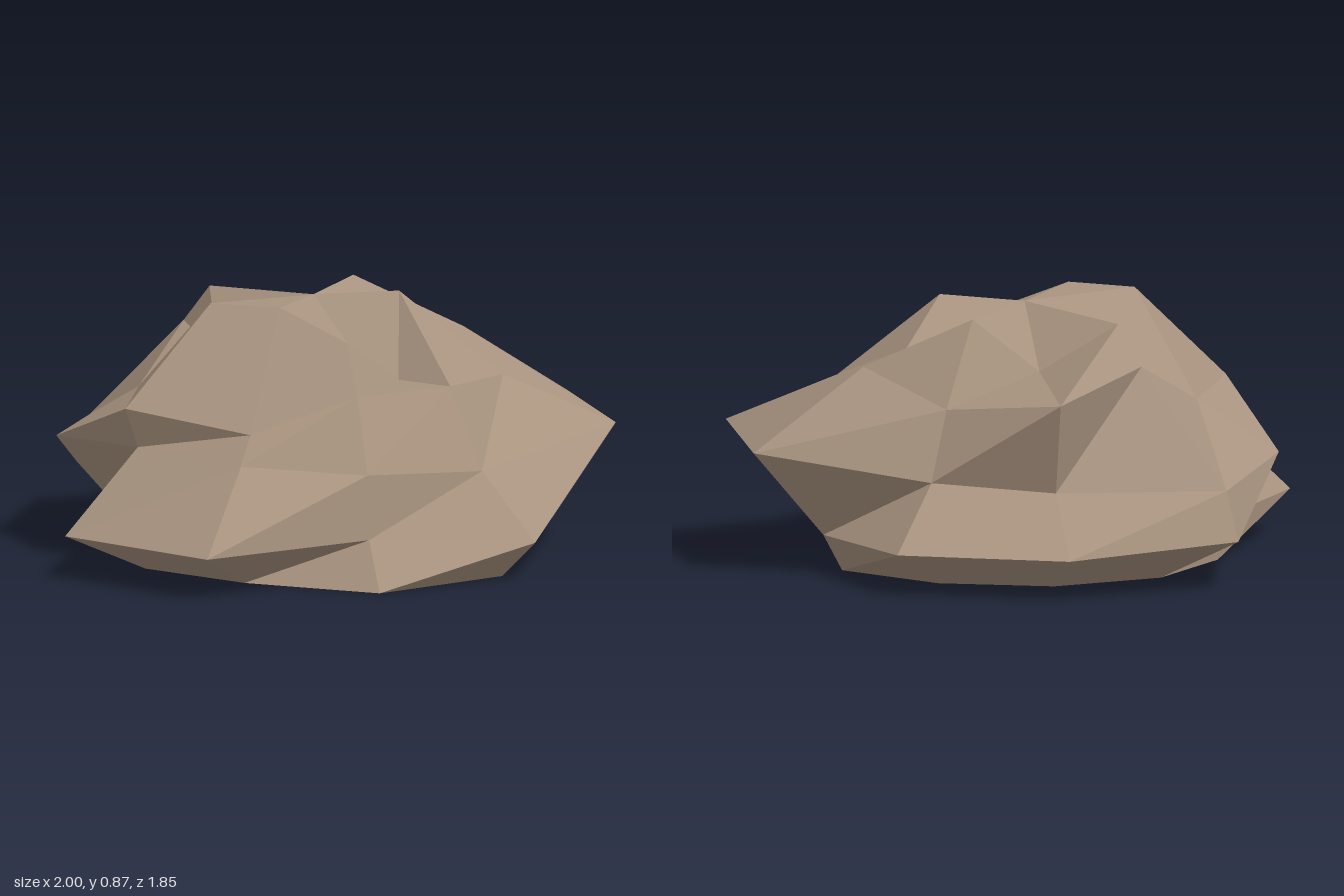
import * as THREE from 'three';

// Rings from upper to lower; each entry is [radius, height].
// Columns run every 36 degrees from -x through the front (+z), +x and the back.
const RINGS = [
  [[0.41, 0.87], [0.32, 0.87], [0.42, 0.77], [0.36, 0.61], [0.285, 0.87],
   [0.44, 0.73], [0.38, 0.85], [0.315, 0.67], [0.44, 0.83], [0.32, 0.65]],
  [[0.75, 0.55], [0.60, 0.49], [0.545, 0.61], [0.58, 0.615], [0.63, 0.59],
   [0.60, 0.68], [0.57, 0.575], [0.77, 0.63], [0.55, 0.70], [0.58, 0.54]],
  [[0.70, 0.415], [0.69, 0.40], [0.67, 0.37], [0.715, 0.345], [1.005, 0.43],
   [1.01, 0.42], [0.68, 0.345], [0.67, 0.32], [0.95, 0.33], [0.855, 0.37]],
  [[0.99, 0.145], [1.01, 0.145], [0.69, 0.155], [0.94, 0.13], [0.67, 0.14],
   [0.75, 0.125], [0.93, 0.14], [0.965, 0.14], [1.005, 0.165], [0.66, 0.14]],
  [[0.67, 0], [0.655, 0], [0.82, 0], [0.80, 0], [0.64, 0],
   [0.68, 0], [0.63, 0], [0.63, 0], [0.64, 0], [0.65, 0]],
];
const SIDES = 10;
const CENTRE = { x: -0.01, z: 0.03 };
const TOP = 0.855;

// Closed surface: a fan at the top, bands between the rings, a flat underside
function boulderGeometry() {
  const points = [CENTRE.x, TOP, CENTRE.z];
  for (const ring of RINGS) {
    ring.forEach(([radius, height], column) => {
      const angle = (column / SIDES) * Math.PI * 2;
      points.push(
        CENTRE.x - radius * Math.cos(angle),
        height,
        CENTRE.z + radius * Math.sin(angle),
      );
    });
  }
  points.push(CENTRE.x, 0, CENTRE.z);

  const at = (ring, column) => 1 + ring * SIDES + (column % SIDES);
  const last = RINGS.length - 1;
  const base = 1 + RINGS.length * SIDES;
  const faces = [];
  for (let i = 0; i < SIDES; i++) {
    faces.push(0, at(0, i), at(0, i + 1));
    for (let r = 0; r < last; r++) {
      faces.push(at(r, i), at(r + 1, i), at(r, i + 1));
      faces.push(at(r, i + 1), at(r + 1, i), at(r + 1, i + 1));
    }
    faces.push(base, at(last, i + 1), at(last, i));
  }

  const indexed = new THREE.BufferGeometry();
  indexed.setAttribute('position', new THREE.Float32BufferAttribute(points, 3));
  indexed.setIndex(faces);
  const geometry = indexed.toNonIndexed();
  geometry.computeVertexNormals();
  return geometry;
}

export function createModel() {
  const stone = new THREE.MeshStandardMaterial({ color: 0xa8937f, flatShading: true });
  stone.name = 'stone';

  const boulder = new THREE.Mesh(boulderGeometry(), stone);
  boulder.name = 'boulder';

  const model = new THREE.Group();
  model.name = 'rock';
  model.add(boulder);
  return model;
}
